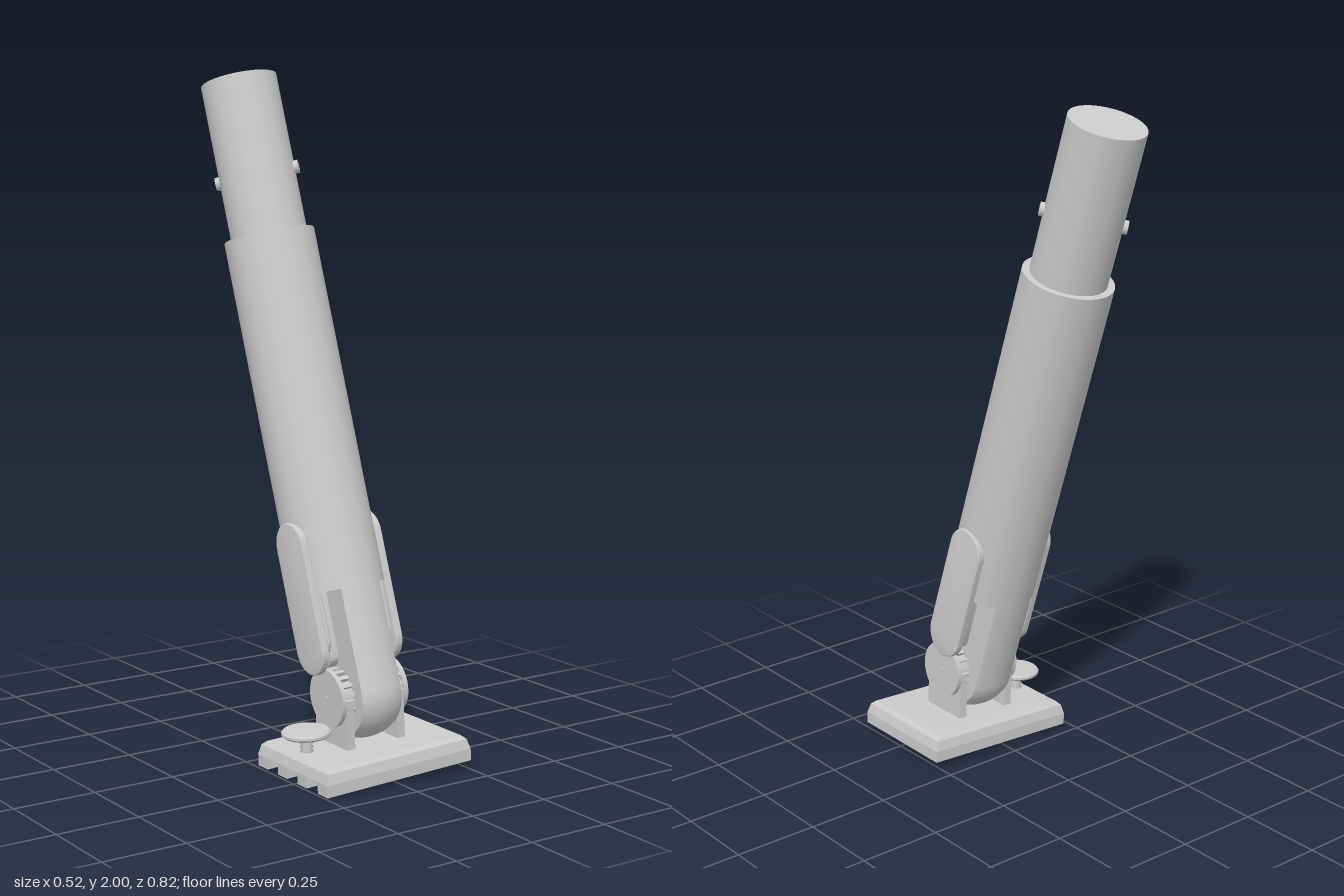
import * as THREE from 'three';
import { toCreasedNormals } from 'three/addons/utils/BufferGeometryUtils.js';
import { ParametricGeometry } from 'three/addons/geometries/ParametricGeometry.js';

const grey = new THREE.MeshStandardMaterial({ color: 0xcccccc });
const skinGrey = new THREE.MeshStandardMaterial({ color: 0xcccccc, side: THREE.DoubleSide });

function add(parent, name, geometry, x = 0, y = 0, z = 0, material = grey) {
  const mesh = new THREE.Mesh(geometry, material);
  mesh.name = name;
  mesh.position.set(x, y, z);
  parent.add(mesh);
  return mesh;
}

function group(parent, name, x = 0, y = 0, z = 0) {
  const g = new THREE.Group();
  g.name = name;
  g.position.set(x, y, z);
  parent.add(g);
  return g;
}

const tube = (r, h, sides = 48) => new THREE.CylinderGeometry(r, r, h, sides);
const sideways = (r, h, sides = 32) => tube(r, h, sides).rotateZ(Math.PI / 2);

// Upright outline with a round bottom and a round or flat top
function outline(r, y0, y1, roundTop) {
  const s = new THREE.Shape();
  s.absarc(0, y0, r, Math.PI, Math.PI * 2, false);
  if (roundTop) s.absarc(0, y1, r, 0, Math.PI, false);
  else s.lineTo(r, y1).lineTo(-r, y1);
  s.closePath();
  return s;
}

// Outline thickened across x, centred on x = 0
function slab(shape, width, bevel = 0) {
  const g = new THREE.ExtrudeGeometry(shape, {
    depth: width - 2 * bevel, curveSegments: 20, bevelEnabled: bevel > 0,
    bevelSize: bevel, bevelThickness: bevel, bevelOffset: -bevel, bevelSegments: 3,
  });
  g.translate(0, 0, -width / 2 + bevel).rotateY(Math.PI / 2);
  return toCreasedNormals(g, 0.6);
}

function buildBase(root) {
  const base = group(root, 'base');
  // Upper plate with sloping sides and a softened top edge
  const plate = new THREE.BoxGeometry(0.5, 0.04, 0.36, 1, 2, 1);
  const p = plate.attributes.position;
  for (let i = 0; i < p.count; i++) {
    const y = p.getY(i);
    const inset = y > 0.01 ? 0.02 : y > -0.01 ? 0.008 : 0;
    if (y > -0.01 && y < 0.01) p.setY(i, 0.009);
    p.setX(i, p.getX(i) - Math.sign(p.getX(i)) * inset);
    p.setZ(i, p.getZ(i) - Math.sign(p.getZ(i)) * inset);
  }
  add(base, 'basePlate', toCreasedNormals(plate, 0.3), 0, 0.055, 0);

  // Comb-shaped underside: three slots open on the right edge
  const comb = new THREE.Shape();
  comb.moveTo(-0.25, -0.18).lineTo(0.25, -0.18).lineTo(0.25, 0.18).lineTo(-0.25, 0.18);
  for (const c of [0.103, 0, -0.103]) {
    comb.lineTo(-0.25, c + 0.028).lineTo(0.2, c + 0.028);
    comb.lineTo(0.2, c - 0.028).lineTo(-0.25, c - 0.028);
  }
  comb.closePath();
  const combGeo = new THREE.ExtrudeGeometry(comb, { depth: 0.035, bevelEnabled: false });
  add(base, 'slottedUnderside', combGeo.rotateX(-Math.PI / 2));

  // Thumbscrew
  const screw = group(base, 'thumbscrew', -0.195, 0, -0.003);
  const shaft = [[0, 0.005], [0.012, 0.005]];
  for (let y = 0.012; y < 0.122; y += 0.012) shaft.push([0.014, y], [0.02, y + 0.006]);
  shaft.push([0.015, 0.124]);
  add(screw, 'screwShaft', new THREE.LatheGeometry(shaft.map(a => new THREE.Vector2(...a)), 24));
  const head = [[0, 0.115], [0.03, 0.115], [0.035, 0.122], [0.066, 0.124], [0.071, 0.129], [0.071, 0.136], [0.066, 0.141], [0, 0.142]];
  add(screw, 'screwHead', toCreasedNormals(new THREE.LatheGeometry(head.map(a => new THREE.Vector2(...a)), 40), 0.6));
}

function buildHinge(root, y, z) {
  const hinge = group(root, 'hinge', 0, y, z);
  add(hinge, 'hingePin', sideways(0.02, 0.2));
  for (const side of [-1, 1]) {
    // Upright ear, toothed ring and outer cap
    add(hinge, 'hingeEar', new THREE.BoxGeometry(0.026, 0.15, 0.16), side * 0.087, -0.075, 0);
    add(hinge, 'toothedRing', sideways(0.071, 0.04), side * 0.085, 0, 0);
    for (let i = 0; i < 20; i++) {
      const a = (i / 20) * Math.PI * 2;
      const tooth = add(hinge, 'tooth', new THREE.BoxGeometry(0.036, 0.016, 0.012),
        side * 0.086, Math.cos(a) * 0.075, Math.sin(a) * 0.075);
      tooth.rotation.x = a;
    }
    add(hinge, 'hingeCap', sideways(0.085, 0.014, 40), side * 0.107, 0, 0);
    add(hinge, 'capRivet', sideways(0.007, 0.005, 16), side * 0.115, 0, 0);
  }
}

function buildArm(root, y, z) {
  const arm = group(root, 'arm', 0, y, z);
  arm.rotation.x = THREE.MathUtils.degToRad(-16.5);
  const R = 0.134, half = 0.067;

  // Tongue: the tube cut flat on both sides, with a round lower end
  const flatR = Math.sqrt(R * R - half * half);
  add(arm, 'tongueCore', slab(outline(flatR, 0, 0.31, false), half * 2));
  const skin = (u, v, out) => {
    const x = (u * 2 - 1) * half;
    const r = Math.sqrt(R * R - x * x);
    const straight = 0.31;
    const t = v * 1.2 - 0.1;
    if (t < 0) out.set(x, -t * 10 * straight, -r);
    else if (t > 1) out.set(x, (t - 1) * 10 * straight, r);
    else out.set(x, -Math.sin(t * Math.PI) * r, -Math.cos(t * Math.PI) * r);
  };
  add(arm, 'tongueSkin', new ParametricGeometry(skin, 12, 48), 0, 0, 0, skinGrey);

  // Telescoping tubes
  add(arm, 'outerTube', tube(R, 1.05), 0, 0.825, 0);
  add(arm, 'innerTube', tube(0.113, 0.52), 0, 1.56, 0);

  // Locking pin through the inner tube
  const pin = add(arm, 'lockingPin', tube(0.02, 0.25, 20).rotateX(Math.PI / 2), 0, 1.533, 0);
  pin.rotation.y = THREE.MathUtils.degToRad(50);

  // Release levers on both sides
  for (const side of [-1, 1]) {
    const lever = group(arm, 'lever');
    add(lever, 'leverPaddle', slab(outline(0.071, 0.141, 0.443, true), 0.024, 0.006), side * 0.128, 0, 0);
    add(lever, 'leverBlock', slab(outline(0.052, 0.165, 0.4, true), 0.03, 0.006), side * 0.107, 0, 0);
    add(lever, 'leverSlide', slab(outline(0.035, 0.12, 0.33, true), 0.032), side * 0.08, 0, 0);
  }
}

export function createModel() {
  const root = new THREE.Group();
  root.name = 'supportLeg';
  const tilted = group(root, 'tiltedAssembly', 0.01, 0.0115, 0.231);
  tilted.rotation.set(0, -0.01, 0.046);
  buildBase(tilted);
  buildHinge(tilted, 0.2135, -0.015);
  buildArm(tilted, 0.2135, -0.015);
  return root;
}
